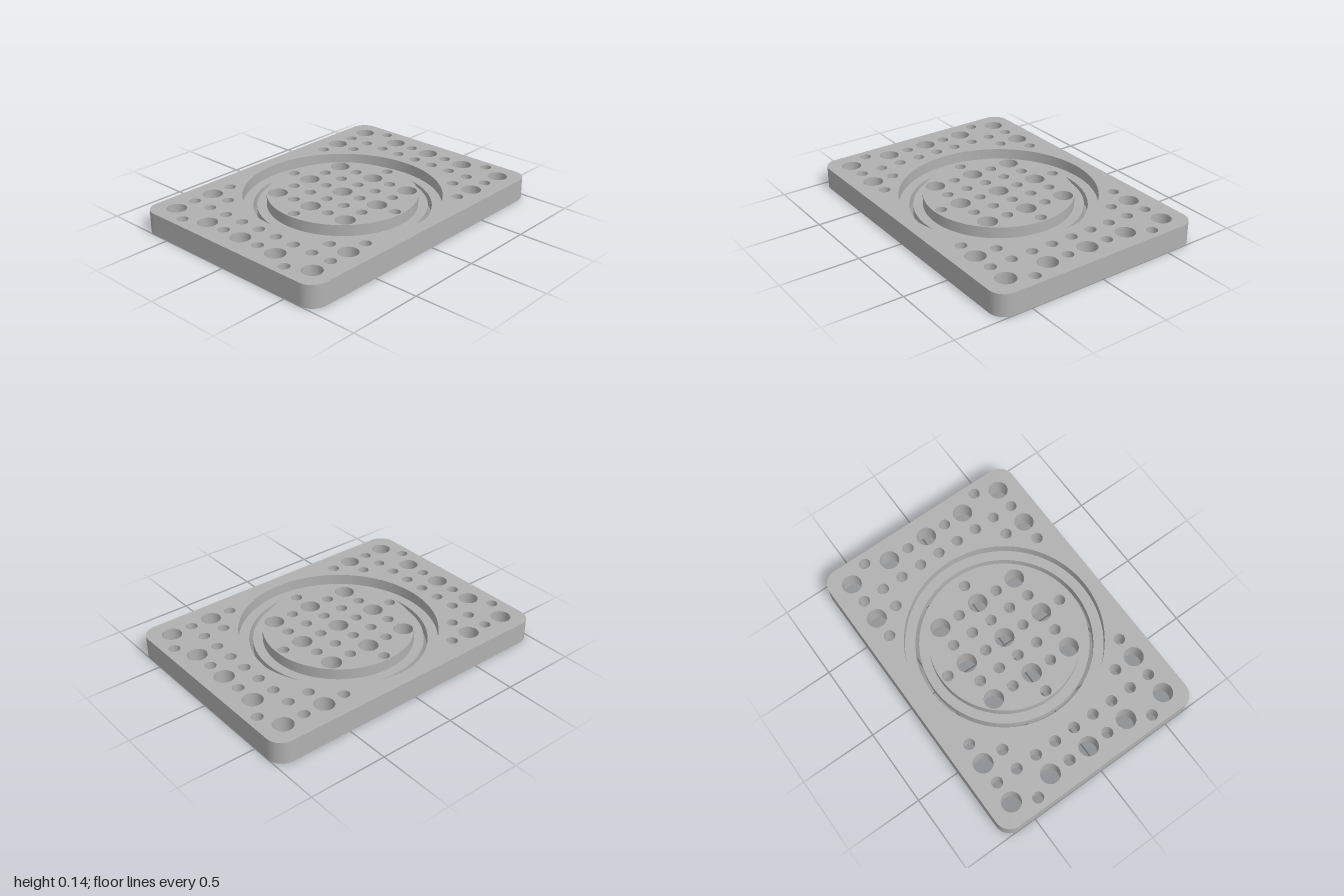
import * as THREE from 'three';
import { mergeGeometries } from 'three/addons/utils/BufferGeometryUtils.js';

const P = 1 / 7;                       // hole grid pitch
const H = P, LEDGE = P / 2;            // plate height, ledge height
const W = 1, D = 5 * P, CORNER = 0.1;  // half width, half depth, corner radius
const BIG = 0.0625, SMALL = 0.036;     // hole radii
const RECESS = 0.624, SLOT = 0.559, FLANGE = 0.535, DISC = 0.474;

// Polygon points (x, z) around a centre
function ngon(x, z, r, n) {
  return Array.from({ length: n }, (_, i) => {
    const a = (i / n) * Math.PI * 2;
    return new THREE.Vector2(x + r * Math.sin(a), z + r * Math.cos(a));
  });
}

// Rounded rectangle outline (x, z)
function plateOutline() {
  const pts = [];
  for (let q = 0; q < 4; q++) {
    const cx = (q < 2 ? 1 : -1) * (W - CORNER), cz = (q === 0 || q === 3 ? 1 : -1) * (D - CORNER);
    for (let i = 0; i <= 12; i++) {
      const a = (q + i / 12) * Math.PI / 2;
      pts.push(new THREE.Vector2(cx + CORNER * Math.sin(a), cz + CORNER * Math.cos(a)));
    }
  }
  return pts;
}

// Flat face with holes, facing up or down
function cap(outline, holes, y, up) {
  const flip = (pts) => pts.map((p) => new THREE.Vector2(p.x, up ? -p.y : p.y));
  const shape = new THREE.Shape(flip(outline));
  shape.holes = holes.map((h) => new THREE.Path(flip(h)));
  return new THREE.ShapeGeometry(shape).rotateX(up ? -Math.PI / 2 : Math.PI / 2).translate(0, y, 0).toNonIndexed();
}

// Turned surface between two profile points: rising faces outward, falling faces inward
function turned(r0, y0, r1, y1, n = 96, x = 0, z = 0, start = 0, sweep = Math.PI * 2) {
  const profile = [new THREE.Vector2(r0, y0), new THREE.Vector2(r1, y1)];
  const g = new THREE.LatheGeometry(profile, n, start, sweep).translate(x, 0, z).toNonIndexed();
  if (n === 6) g.computeVertexNormals();
  return g;
}

// Through holes, some with a round or six-sided pocket underneath
function drill(holes) {
  const top = [], bottom = [], faces = [];
  for (const { x, z, r, pocket } of holes) {
    const rim = ngon(x, z, r, 32);
    top.push(rim);
    if (pocket) {
      const { radius, sides, depth } = pocket;
      const mouth = ngon(x, z, radius, sides);
      bottom.push(mouth);
      faces.push(turned(r, H, r, depth, 32, x, z), turned(radius, depth, radius, 0, sides, x, z));
      faces.push(cap(mouth, [rim], depth, false));
    } else {
      bottom.push(rim);
      faces.push(turned(r, H, r, 0, 32, x, z));
    }
  }
  return { top, bottom, faces };
}

const ROUND = { radius: 0.0625, sides: 32, depth: 0.045 };
const HEX = { radius: 0.055, sides: 6, depth: 0.045 };

// Hole patterns in pitch units: [x, z, big]
function plateHoles() {
  const quarter = [[6, 4, 1], [5, 4], [4, 4, 1], [3, 4], [6.5, 3], [5, 3], [4, 3],
    [6, 2, 1], [5, 2], [6, 1], [5, 1], [6, 0, 1], [5, 0]];
  const holes = [];
  for (const [i, j, big] of quarter)
    for (const sx of [1, -1])
      for (const sz of j ? [1, -1] : [1])
        holes.push({
          x: sx * i * P, z: sz * j * P, r: big ? BIG : SMALL,
          pocket: i === 6.5 ? (sx === sz ? ROUND : HEX) : null,
        });
  return holes;
}

function discHoles() {
  const holes = [];
  for (let i = -2; i <= 2; i++)
    for (let j = -2; j <= 2; j++) {
      const big = i % 2 === 0 && j % 2 === 0;
      const pocket = i === 1 && j === 1 ? ROUND : i === -1 && j === -1 ? HEX : null;
      holes.push({ x: i * P, z: j * P, r: big ? BIG : SMALL, pocket });
    }
  for (const [i, j] of [[3, 0], [-3, 0], [0, 3], [0, -3]]) holes.push({ x: i * P, z: j * P, r: SMALL });
  return holes;
}

// Straight sides and rounded corners of the plate
function plateSides() {
  const faces = [];
  for (let q = 0; q < 4; q++) {
    const along = q % 2 === 0 ? W : D, out = q % 2 === 0 ? D : W;
    faces.push(new THREE.PlaneGeometry(2 * (along - CORNER), H)
      .translate(0, H / 2, out).rotateY(q * Math.PI / 2).toNonIndexed());
    const cx = (q < 2 ? 1 : -1) * (W - CORNER), cz = (q === 0 || q === 3 ? 1 : -1) * (D - CORNER);
    faces.push(turned(CORNER, 0, CORNER, H, 12, cx, cz, q * Math.PI / 2, Math.PI / 2));
  }
  return faces;
}

export function createModel() {
  const grey = new THREE.MeshStandardMaterial({ color: 0xb0b0b0 });
  grey.name = 'light grey';
  const group = new THREE.Group();
  group.name = 'perforatedTurntable';
  const add = (name, faces) => {
    const mesh = new THREE.Mesh(mergeGeometries(faces), grey);
    mesh.name = name;
    group.add(mesh);
  };

  // Base plate with a stepped round opening
  const plate = drill(plateHoles());
  add('basePlate', [
    ...plateSides(), ...plate.faces,
    cap(plateOutline(), [ngon(0, 0, RECESS, 96), ...plate.top], H, true),
    cap(plateOutline(), [ngon(0, 0, SLOT, 96), ...plate.bottom], 0, false),
    turned(RECESS, H, RECESS, LEDGE),
    turned(RECESS, LEDGE, SLOT, LEDGE),
    turned(SLOT, LEDGE, SLOT, 0),
  ]);

  // Centre disc with a flange at its foot
  const disc = drill(discHoles());
  add('centreDisc', [
    ...disc.faces,
    cap(ngon(0, 0, DISC, 96), disc.top, H, true),
    cap(ngon(0, 0, FLANGE, 96), disc.bottom, 0, false),
    turned(FLANGE, 0, FLANGE, LEDGE),
    turned(FLANGE, LEDGE, DISC, LEDGE),
    turned(DISC, LEDGE, DISC, H),
  ]);
  return group;
}
